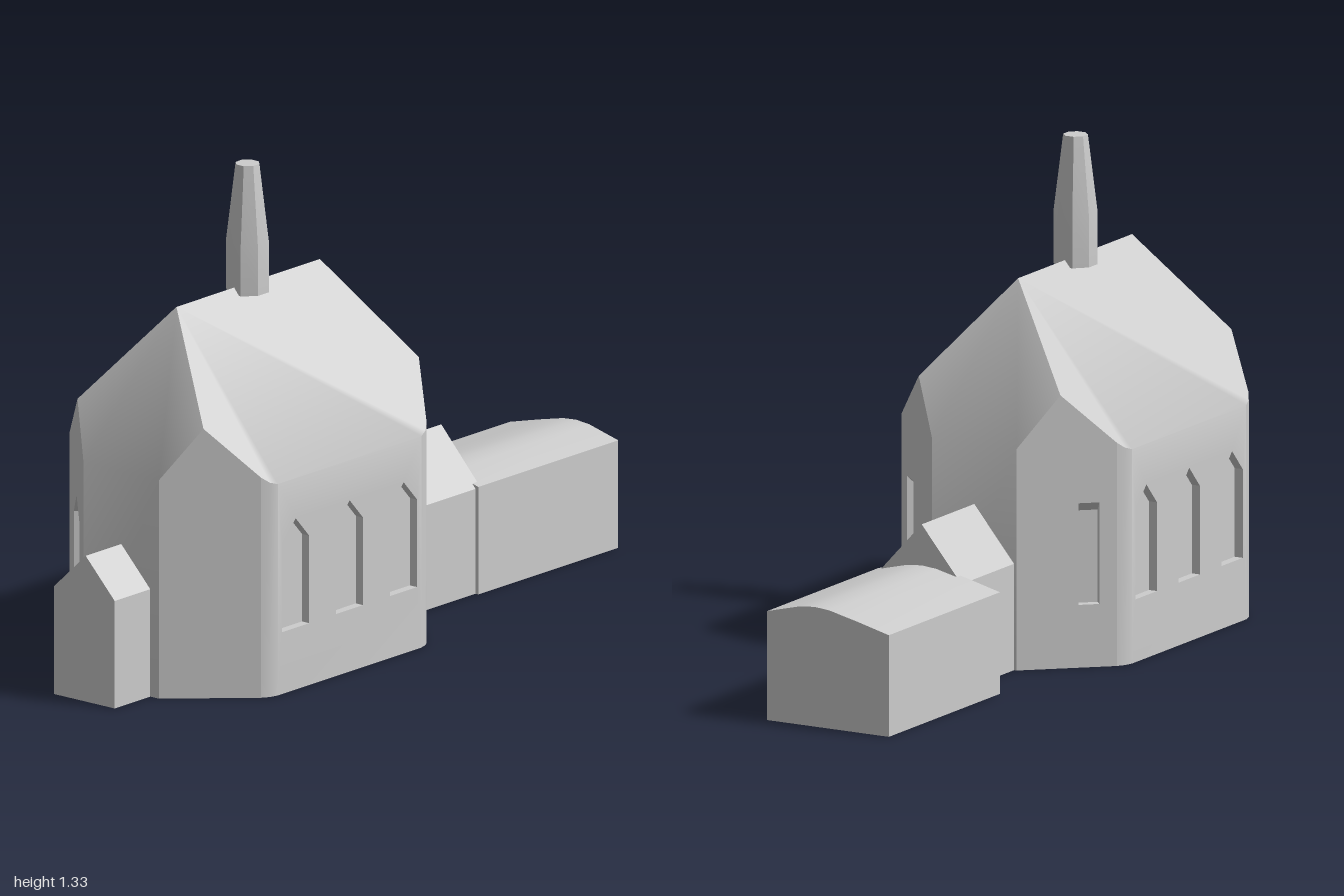
import * as THREE from 'three';
import { toCreasedNormals } from 'three/addons/utils/BufferGeometryUtils.js';

const CENTRE_X = -0.3375;   // middle of the main hall
const RIDGE = 0.2925;       // half length of the ridge
const RECESS = 0.025;       // window depth

// One quarter of the hall's footprint [x, z], with a rounded corner
const QUARTER = [[RIDGE, 0.35], [0.3175, 0.343], [0.3375, 0.33], [0.5175, 0.13]];

const mainSlope = (x, z) => 1 - 1.2 * Math.abs(z);
const hipSlope = (x) => 1 - 1.78 * Math.max(0, Math.abs(x) - RIDGE);
const roofY = (x, z) => Math.min(mainSlope(x, z), hipSlope(x));
const lerp2 = (p, q, t) => [p[0] + (q[0] - p[0]) * t, p[1] + (q[1] - p[1]) * t];
const onRoof = ([x, z]) => new THREE.Vector3(x, roofY(x, z), z);

// Where the two roof slopes meet above a wall, as a fraction of its length
function peakAt(p, q) {
  const f0 = mainSlope(...p) - hipSlope(p[0]);
  const f1 = mainSlope(...q) - hipSlope(q[0]);
  return f0 * f1 < 0 ? f0 / (f0 - f1) : null;
}

function fan(points, out) {
  for (let i = 1; i < points.length - 1; i++) {
    for (const p of [points[0], points[i], points[i + 1]]) out.push(p.x, p.y, p.z);
  }
}

function fromPositions(pos) {
  const g = new THREE.BufferGeometry();
  g.setAttribute('position', new THREE.Float32BufferAttribute(pos, 3));
  g.computeVertexNormals();
  return g;
}

// Window outlines, counter-clockwise in wall coordinates
const pointed = (u) => [[u - 0.055, 0.17], [u + 0.055, 0.17], [u + 0.055, 0.41], [u, 0.47], [u - 0.055, 0.41]];
const slot = (u) => [[u - 0.028, 0.17], [u + 0.028, 0.17], [u + 0.028, 0.445], [u - 0.028, 0.445]];

// Wall between two footprint points, with window openings and their recesses
function addWall(p, q, windows, wallPos, recessPos) {
  const along = new THREE.Vector3(q[0] - p[0], 0, q[1] - p[1]);
  const length = along.length();
  along.normalize();
  const up = new THREE.Vector3(0, 1, 0);
  const place = new THREE.Matrix4()
    .makeBasis(along, up, along.clone().cross(up))
    .setPosition(p[0], 0, p[1]);

  const outline = [[0, 0], [length, 0], [length, roofY(...q)]];
  const t = peakAt(p, q);
  if (t !== null) outline.push([t * length, roofY(...lerp2(p, q, t))]);
  outline.push([0, roofY(...p)]);

  const shape = new THREE.Shape(outline.map((a) => new THREE.Vector2(...a)));
  for (const w of windows) {
    shape.holes.push(new THREE.Path(w.map((a) => new THREE.Vector2(...a))));
    const at = (a, z) => new THREE.Vector3(a[0], a[1], z).applyMatrix4(place);
    // the head of a slot slopes down inwards
    const inner = w.map(([u, y]) => [u, w.length === 4 && y > 0.3 ? y - 0.025 : y]);
    w.forEach((a, i) => {
      const j = (i + 1) % w.length;
      fan([at(a, 0), at(w[j], 0), at(inner[j], -RECESS), at(inner[i], -RECESS)], recessPos);
    });
    fan(inner.map((a) => at(a, -RECESS)), recessPos);
  }
  const panel = new THREE.ShapeGeometry(shape).toNonIndexed().applyMatrix4(place);
  for (const v of panel.attributes.position.array) wallPos.push(v);
}

function buildHall(material) {
  const flip = (sx, sz) => QUARTER.map(([x, z]) => [x * sx, z * sz]);
  const ring = [
    ...flip(1, 1), ...flip(1, -1).reverse(),
    ...flip(-1, -1), ...flip(-1, 1).reverse(),
  ];
  const bodyPos = [], recessPos = [];

  // Walls: three pointed windows on each long side, single ones on the slanted sides
  ring.forEach((p, i) => {
    const q = ring[(i + 1) % ring.length];
    const length = Math.hypot(q[0] - p[0], q[1] - p[1]);
    let windows = [];
    if (length > 0.5) windows = [-0.22, 0, 0.22].map((d) => pointed(length / 2 + d));
    else if (peakAt(p, q) !== null) {
      const mx = p[0] + q[0], mz = p[1] + q[1];
      if (mx > 0) windows = [slot(mz > 0 ? 0.075 : length - 0.075)];
      else if (mz < 0) windows = [pointed(length / 2)];
    }
    addWall(p, q, windows, bodyPos, recessPos);
  });

  // Roof: one long slope and one hip, each repeated by a half turn
  const peak = lerp2(QUARTER[2], QUARTER[3], peakAt(QUARTER[2], QUARTER[3]));
  const eave = [...QUARTER.slice(0, 3), peak, [RIDGE, 0]];
  const end = QUARTER[3];
  const slope = [...eave.map(([x, z]) => [-x, z]).reverse(), ...eave].map(onRoof);
  const hip = [[RIDGE, 0], peak, end, [end[0], -end[1]], [peak[0], -peak[1]]].map(onRoof);
  for (const s of [1, -1]) {
    for (const face of [slope, hip]) {
      fan(face.map((v) => new THREE.Vector3(v.x * s, v.y, v.z * s)), bodyPos);
    }
  }

  // Floor
  fan(ring.map(([x, z]) => new THREE.Vector3(x, 0, z)).reverse(), bodyPos);

  const hall = new THREE.Group();
  hall.name = 'mainHall';
  const body = new THREE.Mesh(toCreasedNormals(fromPositions(bodyPos), THREE.MathUtils.degToRad(41)), material);
  body.name = 'hallWallsAndRoof';
  const recesses = new THREE.Mesh(fromPositions(recessPos), material);
  recesses.name = 'windowRecesses';
  hall.add(body, recesses);
  hall.position.x = CENTRE_X;
  return hall;
}

// Building wing: a [z, y] profile extruded along x
function wing(name, profile, x0, x1, material) {
  const shape = new THREE.Shape(profile.map(([z, y]) => new THREE.Vector2(-z, y)));
  const g = new THREE.ExtrudeGeometry(shape, { depth: x1 - x0, bevelEnabled: false });
  g.rotateY(Math.PI / 2).translate(x0, 0, 0);
  const mesh = new THREE.Mesh(toCreasedNormals(g, 0.45), material);
  mesh.name = name;
  return mesh;
}

const gable = (back, front, wallY, ridgeY) => [[front, 0], [back, 0], [back, wallY], [0, ridgeY], [front, wallY]];

export function createModel() {
  const stone = new THREE.MeshStandardMaterial({ color: 0xcccccc });
  stone.name = 'lightGrey';
  const model = new THREE.Group();
  model.name = 'chapel';

  model.add(buildHall(stone));

  // Porch, connecting wing and long low annex with a curved roof
  model.add(wing('porch', gable(-0.11, 0.1, 0.295, 0.4), -1, -0.84, stone));
  model.add(wing('connectingWing', gable(-0.122, 0.135, 0.288, 0.435), 0.17, 0.45, stone));
  model.add(wing('longAnnex', [
    [0.145, 0], [-0.228, 0], [-0.228, 0.275], [-0.13, 0.3],
    [-0.045, 0.32], [0, 0.324], [0.045, 0.32], [0.145, 0.295],
  ], 0.43, 1, stone));

  // Eight-sided ridge turret
  const profile = [[0, 0.98], [0.059, 0.98], [0.059, 1.12], [0.033, 1.33], [0, 1.33]]
    .map((a) => new THREE.Vector2(...a));
  const turret = new THREE.Mesh(
    toCreasedNormals(new THREE.LatheGeometry(profile, 8, Math.PI / 8), 0.3), stone);
  turret.name = 'ridgeTurret';
  turret.position.x = -0.34;
  model.add(turret);

  return model;
}
